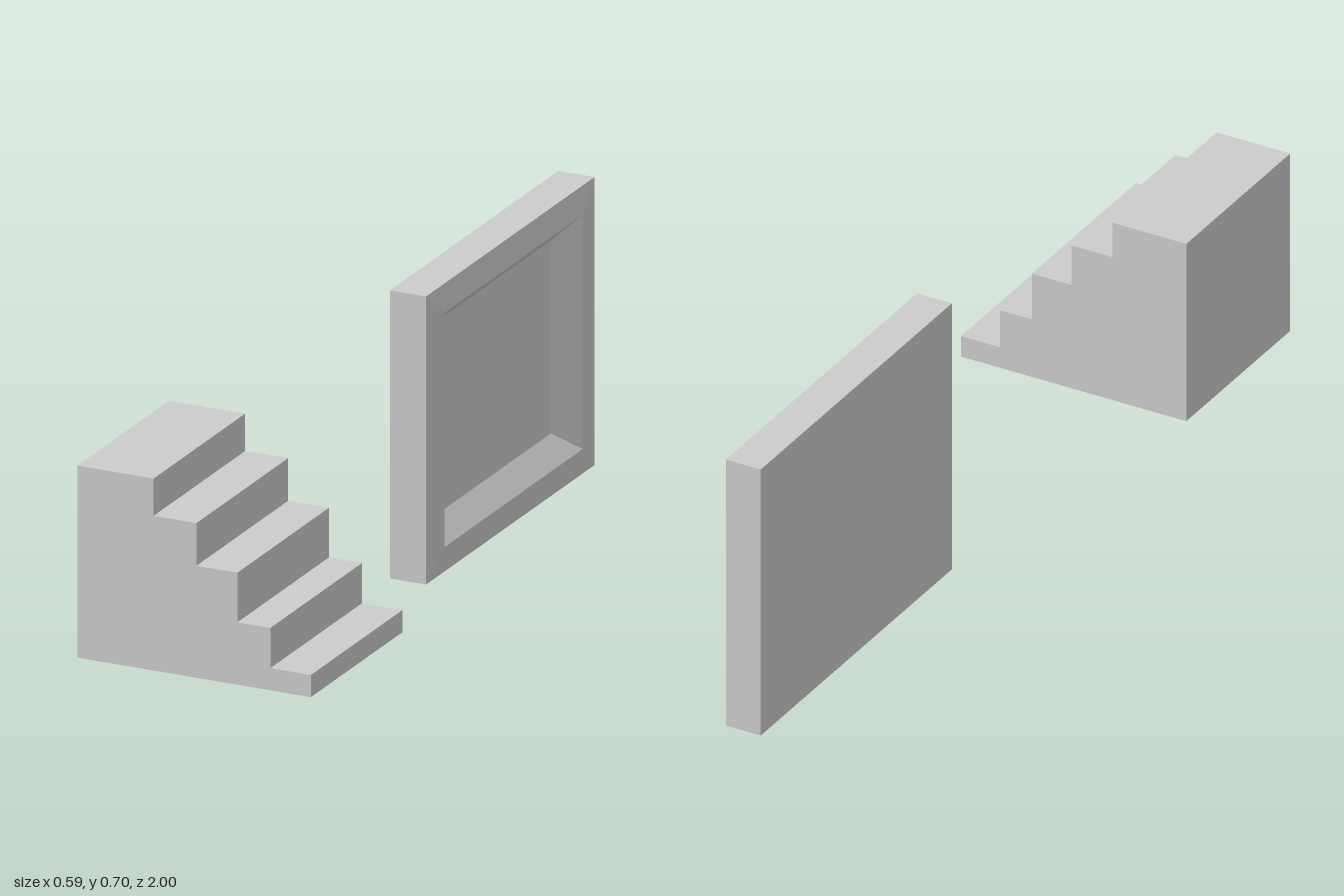
import * as THREE from 'three';

// Rectangular ring in the zy plane, counter-clockwise seen from +x
const ring = (x, z0, z1, y0, y1) => [[x, y0, z1], [x, y0, z0], [x, y1, z0], [x, y1, z1]];

// Joins successive rings with flat quads and closes both ends
function loftRings(rings) {
  const pos = [];
  const quad = (a, b, c, d) => pos.push(...a, ...b, ...c, ...a, ...c, ...d);
  for (let r = 0; r < rings.length - 1; r++) {
    const a = rings[r], b = rings[r + 1];
    for (let i = 0; i < 4; i++) {
      const j = (i + 1) % 4;
      quad(a[i], a[j], b[j], b[i]);
    }
  }
  quad(...[...rings[0]].reverse());
  quad(...rings[rings.length - 1]);
  const geo = new THREE.BufferGeometry();
  geo.setAttribute('position', new THREE.Float32BufferAttribute(pos, 3));
  geo.computeVertexNormals();
  return geo;
}

export function createModel() {
  const group = new THREE.Group();
  const grey = new THREE.MeshStandardMaterial({ color: 0xcccccc });
  grey.name = 'light grey';

  // Stairs: stepped side profile, descending towards +x
  const bottom = 0.139, left = -0.298;
  const steps = [[0.296, 0.193], [0.193, 0.291], [0.109, 0.412], [0.005, 0.516], [-0.104, 0.607]];
  const profile = new THREE.Shape().moveTo(left, bottom).lineTo(steps[0][0], bottom);
  steps.forEach(([x, y], i) => {
    profile.lineTo(x, y);
    profile.lineTo(i < steps.length - 1 ? steps[i + 1][0] : left, y);
  });
  profile.closePath();
  const stairs = new THREE.Mesh(
    new THREE.ExtrudeGeometry(profile, { depth: 0.477, bevelEnabled: false }), grey);
  stairs.position.z = 0.523;
  stairs.name = 'stairs';

  // Framed panel: back, outer front edge, raised inner rim, recessed floor
  const panel = new THREE.Mesh(loftRings([
    ring(-0.051, -1, -0.122, 0, 0.702),
    ring(0.041, -1, -0.122, 0, 0.702),
    ring(0.05, -0.92, -0.2, 0.067, 0.638),
    ring(0.0, -0.857, -0.263, 0.118, 0.588),
  ]), grey);
  panel.name = 'framedPanel';

  group.add(stairs, panel);
  return group;
}
